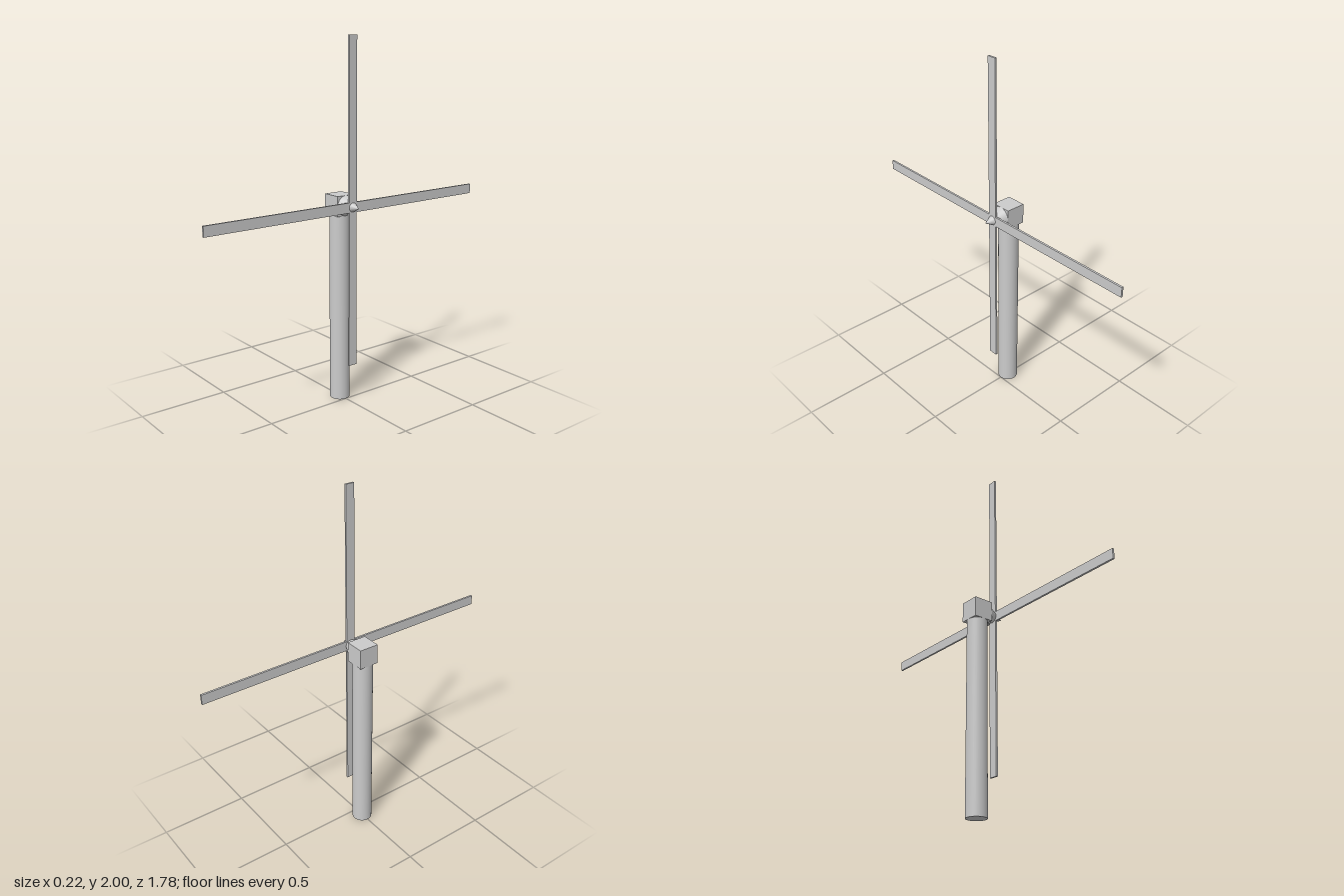
import * as THREE from 'three';

const U = 1 / 9;          // base unit: width of the nacelle
const HUB_Y = 10 * U;     // height of the rotor axis

export function createModel() {
  const model = new THREE.Group();
  model.name = 'windTurbine';
  const material = new THREE.MeshStandardMaterial({ color: 0xcccccc });

  const add = (parent, name, geometry, x, y, z) => {
    const mesh = new THREE.Mesh(geometry, material);
    mesh.name = name;
    mesh.position.set(x, y, z);
    parent.add(mesh);
    return mesh;
  };

  // Round tower, standing under the nacelle
  const towerHeight = HUB_Y - U / 2;
  add(model, 'tower', new THREE.CylinderGeometry(U / 2, U / 2, towerHeight, 32), -U / 2, towerHeight / 2, 0);

  // Cubic nacelle on top
  add(model, 'nacelle', new THREE.BoxGeometry(U, U, U), -U / 2, HUB_Y, 0);

  // Rotor: pointed hub along +x and two crossed full-length blades
  const rotor = new THREE.Group();
  rotor.name = 'rotor';
  rotor.position.set(U / 2, HUB_Y, 0);
  model.add(rotor);

  const hub = add(rotor, 'hubCone', new THREE.ConeGeometry(U / 2, U, 32), 0, 0, 0);
  hub.rotation.z = -Math.PI / 2;

  const span = 16 * U, thickness = 0.1 * U;
  add(rotor, 'verticalBlade', new THREE.BoxGeometry(thickness, span, 0.05), 0, 0, 0);
  add(rotor, 'horizontalBlade', new THREE.BoxGeometry(thickness, 0.055, span), 0, 0, 0);

  return model;
}
